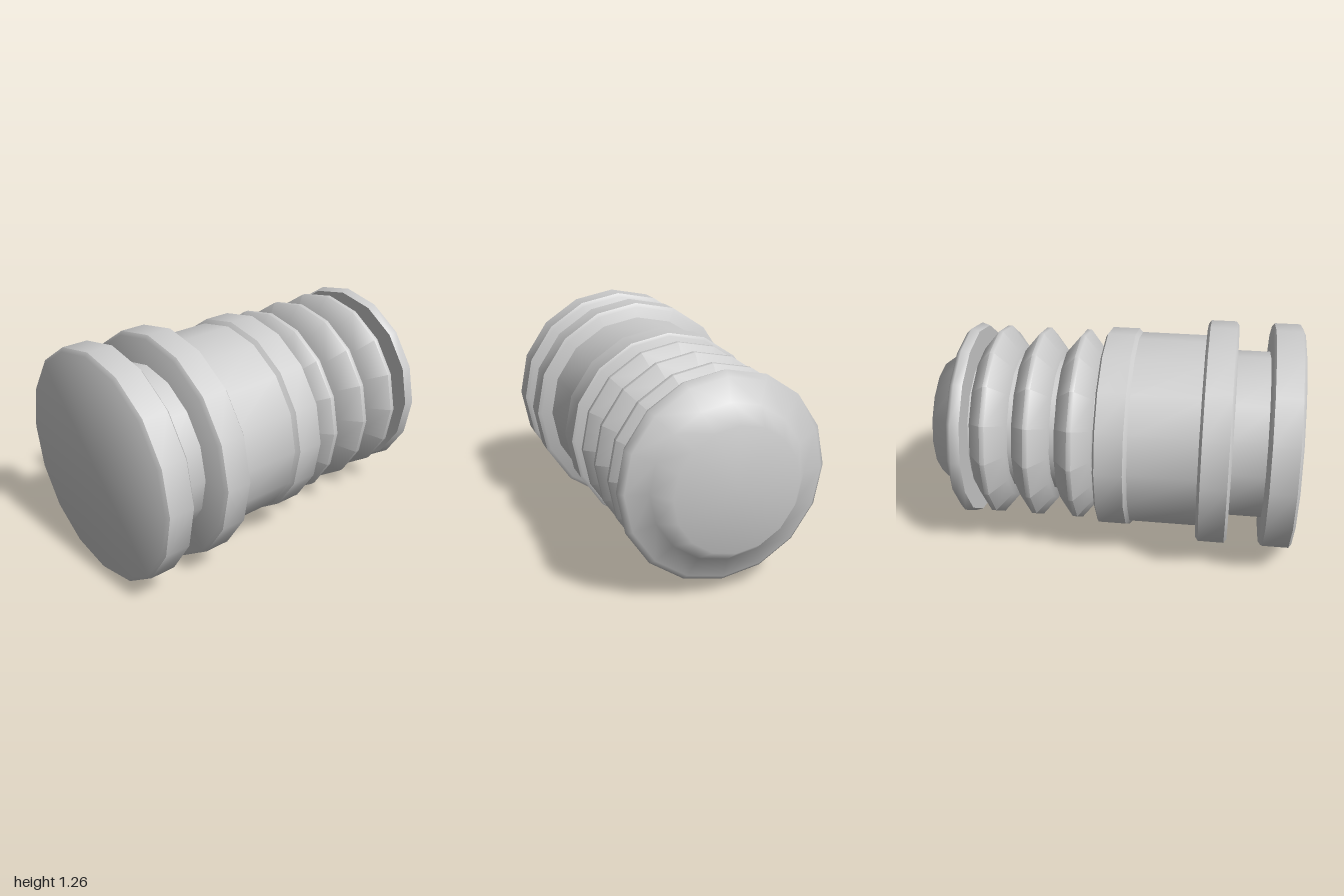
import * as THREE from 'three';
import { toCreasedNormals } from 'three/addons/utils/BufferGeometryUtils.js';

const SIDES = 16;
const AXIS_HEIGHT = 0.63;
const CORE = 0.385;

export function createModel() {
  const group = new THREE.Group();
  group.name = 'ribbedPlug';
  const material = new THREE.MeshStandardMaterial({ color: 0xcccccc });

  // Turns a profile of [x, radius] pairs around the long axis
  function turn(name, profile, crease) {
    let geometry = new THREE.LatheGeometry(
      profile.map(([x, r]) => new THREE.Vector2(r, x)), SIDES);
    if (crease) geometry = toCreasedNormals(geometry, crease);
    geometry.rotateZ(-Math.PI / 2);
    const mesh = new THREE.Mesh(geometry, material);
    mesh.name = name;
    mesh.position.y = AXIS_HEIGHT;
    group.add(mesh);
  }

  // Chamfered disc between two x positions
  const flange = (a, b) => [
    [a, 0], [a, 0.61], [a + 0.015, 0.63], [b - 0.015, 0.63], [b, 0.61], [b, 0],
  ];
  turn('endFlange', flange(-1, -0.83), 0.7);
  turn('innerFlange', flange(-0.65, -0.48), 0.7);
  turn('neck', [[-0.84, 0.47], [-0.64, 0.47]], 0.7);

  // Main barrel with its slightly wider collar
  turn('barrel', [
    [-0.49, 0.545], [-0.11, 0.545], [-0.09, 0.565], [0.06, 0.565], [0.07, 0.55], [0.07, 0],
  ], 0.7);

  // Thin shaft carrying the ribs
  turn('shaft', [[0.06, CORE], [0.79, CORE]], 0.7);

  // Three pointed sealing ribs
  [0.1, 0.333, 0.565].forEach((x, i) => turn(`rib${i + 1}`, [
    [x, 0], [x, 0.44], [x + 0.085, 0.545], [x + 0.11, 0.545], [x + 0.195, 0.44], [x + 0.195, 0],
  ], 0.9));

  // Rounded nose, smooth over the front, with a flat back
  turn('nose', [
    [0.785, 0.54], [0.83, 0.555], [0.86, 0.525], [0.895, 0.41], [1, 0.33], [1, 0],
  ]);
  turn('noseBack', [[0.785, 0], [0.785, 0.54]]);

  return group;
}
